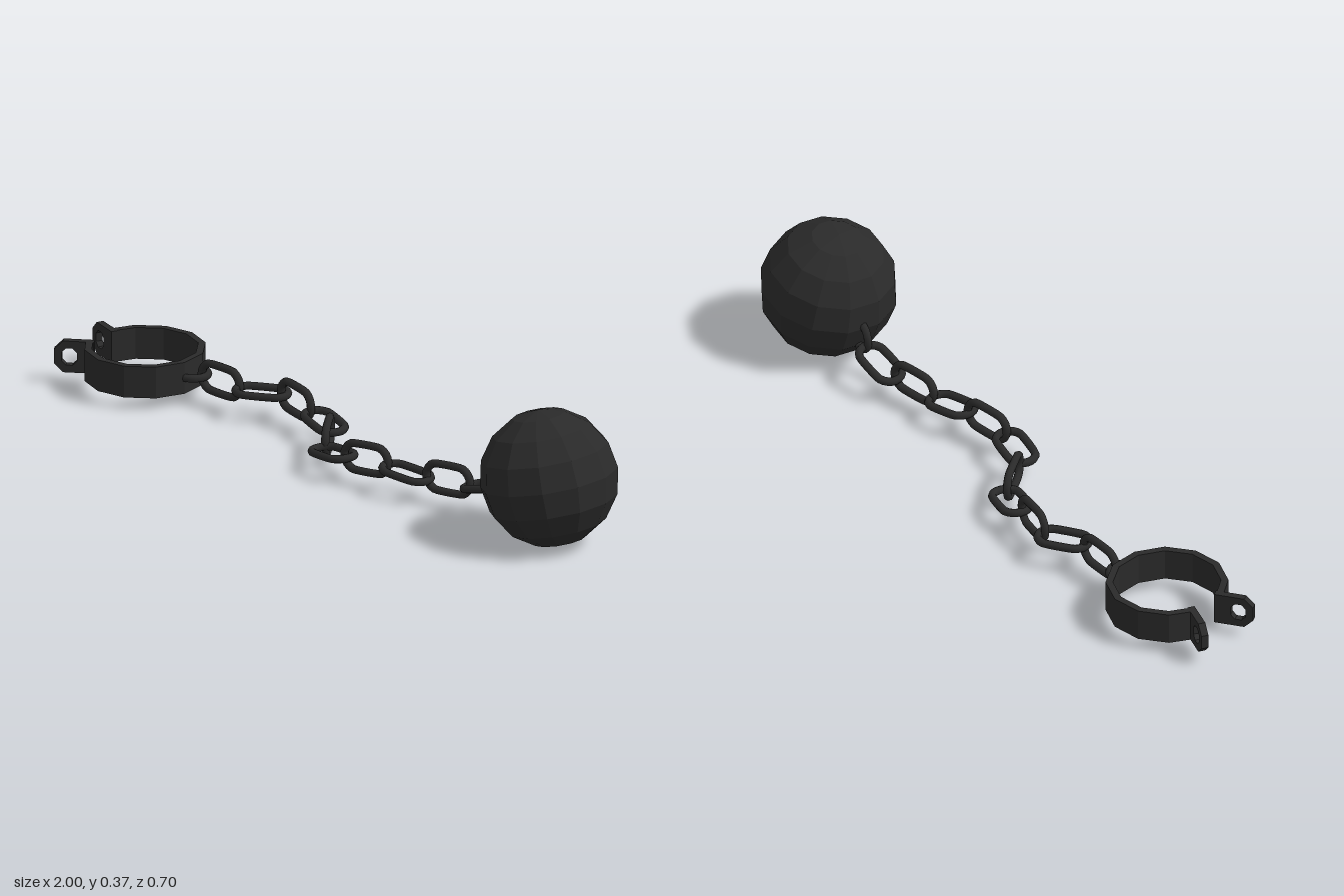
import * as THREE from 'three';

const WIRE = 0.0115;

// Closed centreline of a chain link: two straight sides and two round ends
class LinkCurve extends THREE.Curve {
  constructor(half, radius) {
    super();
    this.h = half;
    this.r = radius;
  }
  getPoint(t, target = new THREE.Vector3()) {
    const a = t * Math.PI * 2;
    const c = Math.cos(a), s = Math.sin(a);
    const shift = this.h * Math.max(-1, Math.min(1, c * 4));
    return target.set(shift + this.r * c, this.r * s, 0);
  }
}

export function createModel() {
  const model = new THREE.Group();
  const iron = new THREE.MeshStandardMaterial({ color: 0x2a2a2a });
  iron.name = 'darkIron';
  const facetedIron = iron.clone();
  facetedIron.flatShading = true;
  facetedIron.name = 'darkIronFaceted';

  const add = (name, geometry, material, x, y, z) => {
    const mesh = new THREE.Mesh(geometry, material);
    mesh.name = name;
    mesh.position.set(x, y, z);
    model.add(mesh);
    return mesh;
  };

  // Heavy ball, leaning slightly
  const ball = add('ball', new THREE.SphereGeometry(0.19, 12, 8), facetedIron, 0.81, 0.19, 0.16);
  ball.rotation.z = 0.2;

  // Eye set into the ball, standing upright
  const eye = add('ballEye', new THREE.TorusGeometry(0.04, WIRE, 8, 20), iron, 0.652, 0.125, 0.118);
  eye.rotation.y = -0.3;

  // Chain: centre, direction, and whether the link stands upright
  const links = [
    [-0.51, 0.083, -0.18, 1, 0, 0.17, true],
    [-0.375, 0.079, -0.18, 1, -0.02, -0.42, false],
    [-0.255, 0.085, -0.17, 1, -0.05, 0.38, true],
    [-0.13, 0.063, -0.125, 1, -0.12, 0.48, false],
    [-0.055, 0.066, -0.035, 0.5, 0, 0.9, true],
    [0.035, 0.067, 0.07, 1, 0.1, 0.38, false],
    [0.16, 0.084, 0.092, 1, 0.05, 0, true],
    [0.295, 0.073, 0.095, 1, -0.1, 0, false],
    [0.43, 0.083, 0.092, 1, 0.04, 0, true],
    [0.555, 0.09, 0.092, 1, 0.27, 0.18, false],
  ];
  const linkGeometry = new THREE.TubeGeometry(new LinkCurve(0.033, 0.039), 32, WIRE, 8, true);
  const up = new THREE.Vector3(0, 1, 0);
  links.forEach(([x, y, z, dx, dy, dz, upright], i) => {
    const dir = new THREE.Vector3(dx, dy, dz).normalize();
    const flat = new THREE.Vector3().crossVectors(dir, up).normalize();
    const rise = new THREE.Vector3().crossVectors(flat, dir);
    const basis = upright
      ? new THREE.Matrix4().makeBasis(dir, rise, flat)
      : new THREE.Matrix4().makeBasis(dir, flat, rise.negate());
    const link = add('chainLink' + (i + 1), linkGeometry, iron, x, y, z);
    link.quaternion.setFromRotationMatrix(basis);
  });

  // Open shackle band, twelve-sided with a gap facing -x
  const cx = -0.765, cy = 0.08, cz = -0.188, height = 0.09;
  const angles = [-161];
  for (let a = -135; a <= 135; a += 30) angles.push(a);
  angles.push(161);
  const arc = (r) => angles.map((deg) => {
    const a = THREE.MathUtils.degToRad(deg);
    return new THREE.Vector2(r * Math.cos(a), r * Math.sin(a));
  });
  const bandShape = new THREE.Shape([...arc(0.166), ...arc(0.146).reverse()]);
  const bandGeometry = new THREE.ExtrudeGeometry(bandShape, { depth: height, bevelEnabled: false });
  bandGeometry.translate(0, 0, -height / 2).rotateX(-Math.PI / 2);
  add('shackleBand', bandGeometry, facetedIron, cx, cy, cz);

  // Flared lugs with chamfered ends and a bolt hole
  const chamfered = (x0, x1, h, c) => [
    [x0 + c, -h], [x1 - c, -h], [x1, c - h], [x1, h - c],
    [x1 - c, h], [x0 + c, h], [x0, h - c], [x0, c - h],
  ].map(([x, y]) => new THREE.Vector2(x, y));
  const hh = height / 2;
  const lugShape = new THREE.Shape([
    [-0.01, -hh], [0.075, -hh], [0.1, 0.025 - hh], [0.1, hh - 0.025], [0.075, hh], [-0.01, hh],
  ].map(([x, y]) => new THREE.Vector2(x, y)));
  lugShape.holes.push(new THREE.Path(chamfered(0.037, 0.079, 0.024, 0.012).reverse()));
  const lugGeometry = new THREE.ExtrudeGeometry(lugShape, { depth: 0.02, bevelEnabled: false });
  lugGeometry.translate(0, 0, -0.01);
  for (const side of [-1, 1]) {
    const lug = add(side < 0 ? 'backLug' : 'frontLug', lugGeometry, facetedIron, -0.907, cy, cz + side * 0.052);
    lug.rotation.y = -side * (Math.PI - 0.47);
  }

  // Half-ring staple joining the band to the chain
  const stapleGeometry = new THREE.TorusGeometry(0.04, WIRE, 8, 12, Math.PI);
  stapleGeometry.rotateZ(-Math.PI / 2).rotateX(Math.PI / 2);
  add('shackleStaple', stapleGeometry, iron, -0.606, cy, cz);

  return model;
}
